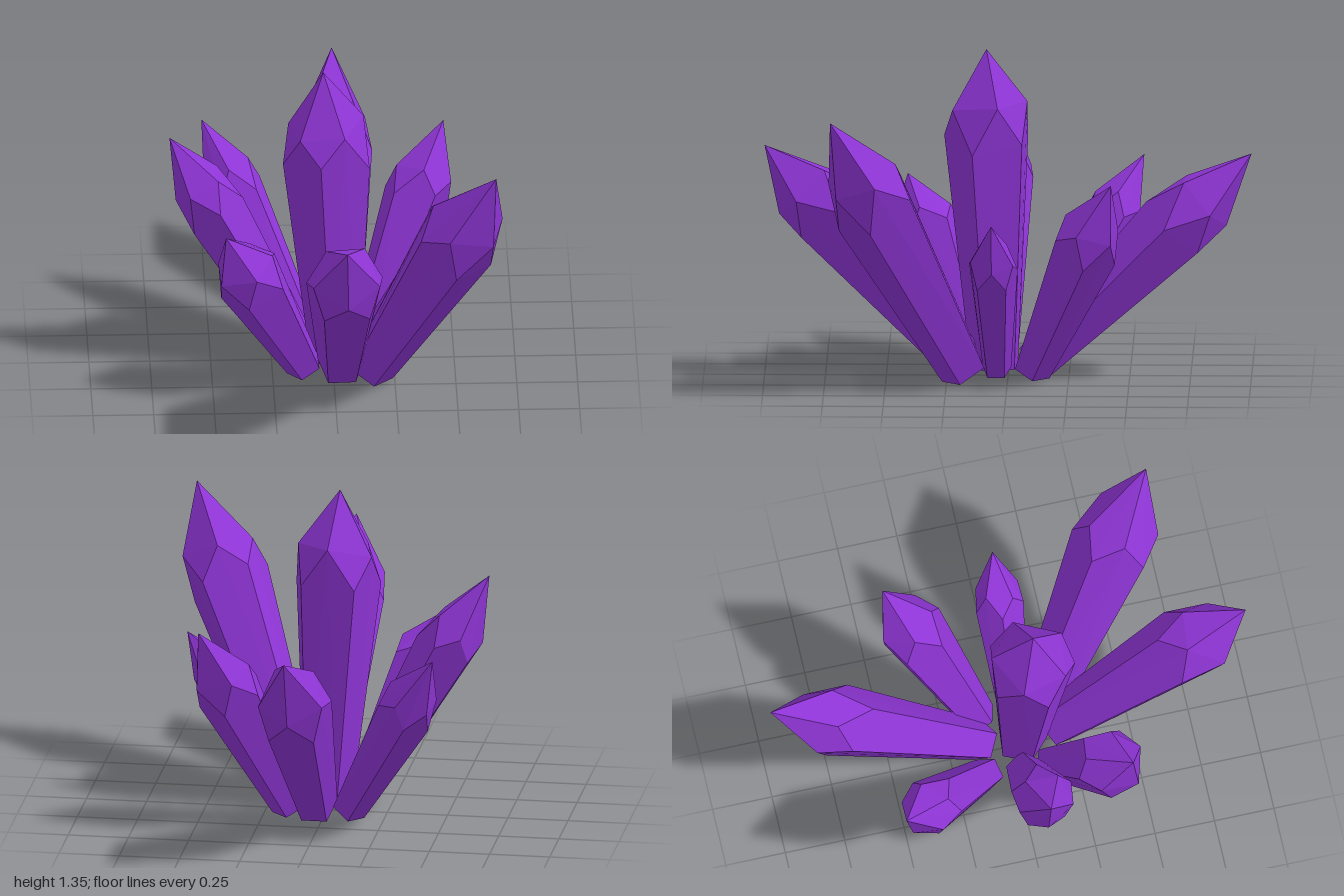
import * as THREE from 'three';
import { ConvexGeometry } from 'three/addons/geometries/ConvexGeometry.js';

// Small seeded generator for natural irregularity, returns -1..1
function seeded(seed) {
  let s = seed * 7919 + 17;
  return () => {
    s = (s * 16807) % 2147483647;
    return (s / 2147483647) * 2 - 1;
  };
}

// name, base centre, tip, base radius, shoulder radius, shoulder height along the axis
const CRYSTALS = [
  ['centreCrystal', [0.01, 0.04, 0.05], [-0.04, 1.36, 0.09], 0.105, 0.186, 0.71],
  ['frontCrystal', [0.03, 0.08, 0.2], [0.03, 0.97, 1.0], 0.1, 0.165, 0.69],
  ['backCrystal', [0.03, 0.06, -0.11], [0.03, 0.94, -1.0], 0.09, 0.16, 0.66],
  ['leftFrontCrystal', [0.155, 0.055, 0.18], [0.65, 1.17, 0.72], 0.1, 0.178, 0.66],
  ['leftCrystal', [0.13, 0.055, 0.045], [0.59, 0.73, 0.06], 0.062, 0.105, 0.67],
  ['leftBackCrystal', [0.14, 0.05, -0.1], [0.47, 0.88, -0.43], 0.078, 0.142, 0.66],
  ['rightFrontCrystal', [-0.12, 0.05, 0.15], [-0.45, 0.77, 0.42], 0.078, 0.148, 0.67],
  ['rightCrystal', [-0.13, 0.06, 0.035], [-0.67, 1.04, 0.025], 0.078, 0.132, 0.66],
  ['rightBackCrystal', [-0.11, 0.055, -0.12], [-0.52, 0.84, -0.55], 0.072, 0.124, 0.66],
];

// Five-sided shaft that widens upward, with kite-shaped facets closing on the tip
function crystalGeometry(base, tip, baseRadius, radius, shoulder, seed) {
  const rand = seeded(seed);
  const from = new THREE.Vector3(...base);
  const to = new THREE.Vector3(...tip);
  const axis = to.clone().sub(from).normalize();
  // The first ridge looks up on leaning crystals, forward on the upright one
  const ridge = axis.y > 0.95 ? new THREE.Vector3(-0.1, 0, 1) : new THREE.Vector3(0, 1, 0);
  ridge.addScaledVector(axis, -ridge.dot(axis)).normalize();
  const side = new THREE.Vector3().crossVectors(axis, ridge);

  const at = (t, r, a) => from.clone().lerp(to, t)
    .addScaledVector(ridge, r * Math.cos(a))
    .addScaledVector(side, r * Math.sin(a));

  const points = [to];
  for (let i = 0; i < 5; i++) {
    const a = (i / 5) * Math.PI * 2 + rand() * 0.06;
    points.push(at(0, baseRadius, a));
    points.push(at(shoulder + rand() * 0.03, radius, a));
    points.push(at(shoulder + 0.11 + rand() * 0.02, radius * 0.88, a + Math.PI / 5));
  }
  return new ConvexGeometry(points);
}

export function createModel() {
  const group = new THREE.Group();
  group.name = 'crystalCluster';
  const purple = new THREE.MeshStandardMaterial({ color: 0x8f35d6 });
  purple.name = 'purple crystal';

  CRYSTALS.forEach(([name, ...spec], i) => {
    const mesh = new THREE.Mesh(crystalGeometry(...spec, i + 1), purple);
    mesh.name = name;
    group.add(mesh);
  });
  return group;
}
